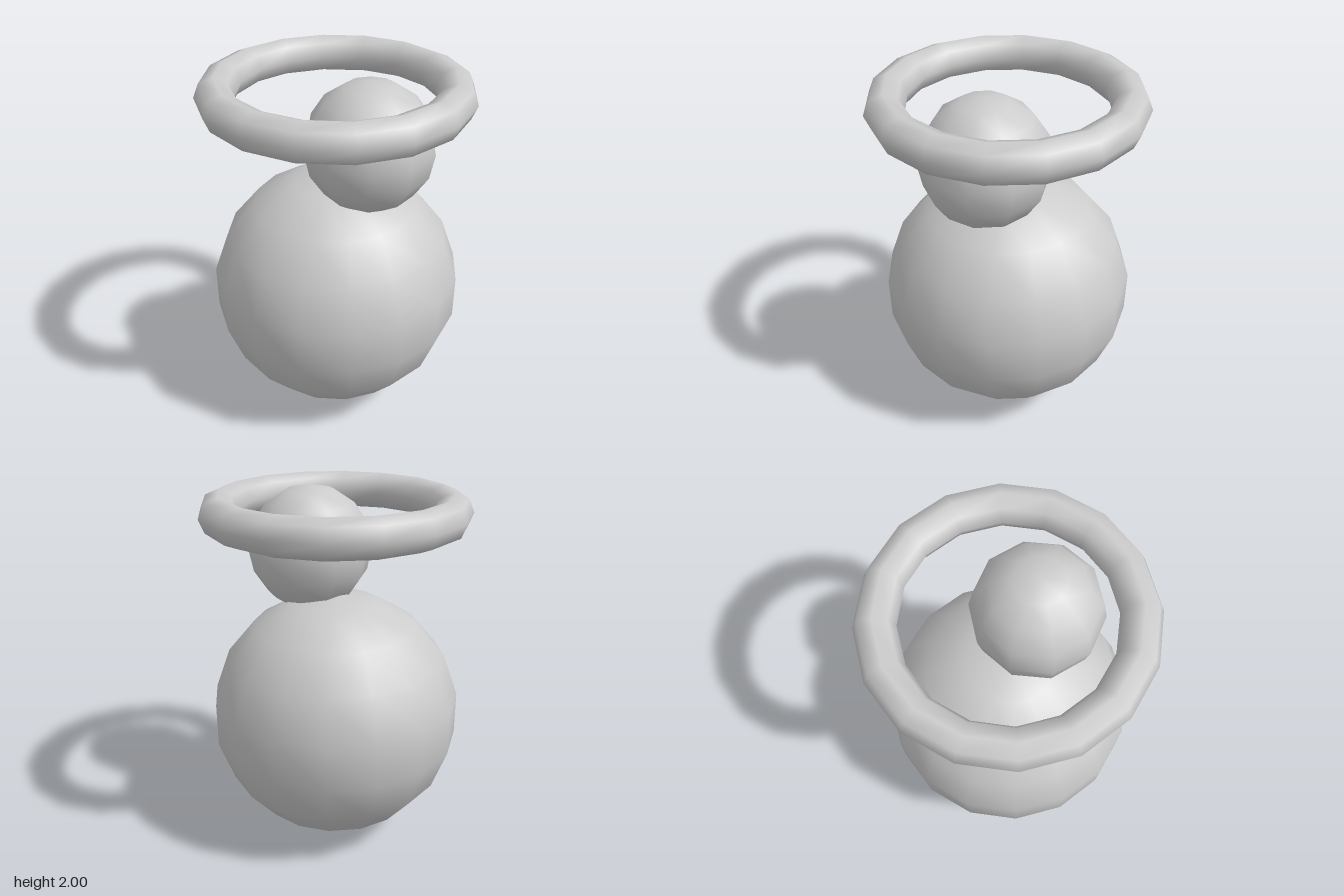
import * as THREE from 'three';

export function createModel() {
  const group = new THREE.Group();
  const material = new THREE.MeshStandardMaterial({ color: 0xcccccc });

  function add(name, geometry, y, z = 0) {
    const mesh = new THREE.Mesh(geometry, material);
    mesh.name = name;
    mesh.position.set(0, y, z);
    group.add(mesh);
  }

  // Large round body standing on the ground
  add('body', new THREE.SphereGeometry(0.714, 16, 9), 0.715);

  // Small head, set forward and sunk slightly into the body
  add('head', new THREE.SphereGeometry(0.35, 10, 8), 1.65, 0.218);

  // Horizontal ring floating around the top of the head
  add('halo', new THREE.TorusGeometry(0.625, 0.103, 8, 16).rotateX(-Math.PI / 2), 1.892);

  return group;
}
